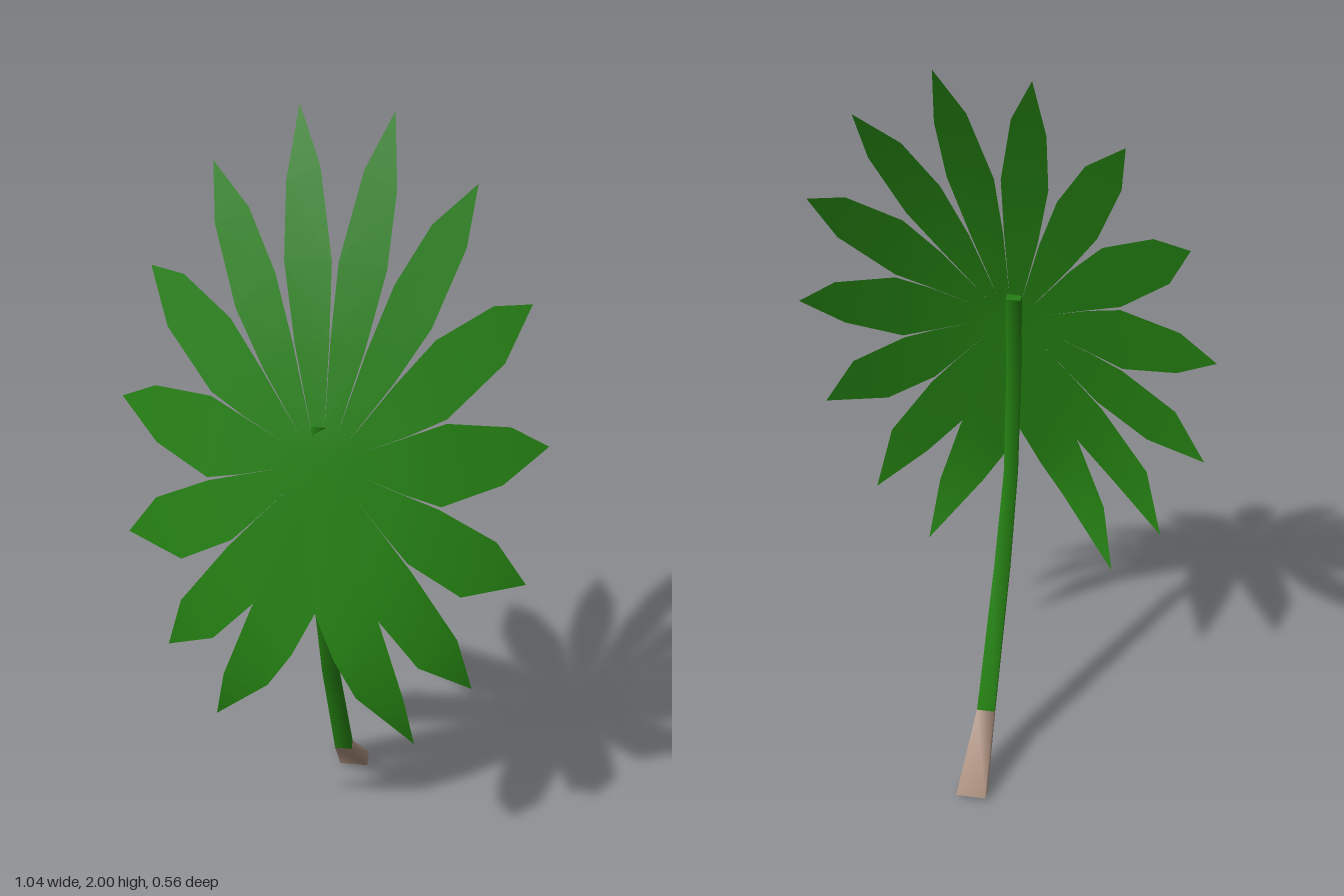
import * as THREE from 'three';
import { mergeVertices } from 'three/addons/utils/BufferGeometryUtils.js';

const CENTRE = [0, 1.235];
// points between neighbouring leaflets, from the top round to the lower notch
const BASES = [[0, 1.32], [0.03, 1.31], [0.058, 1.3], [0.09, 1.275], [0.098, 1.215], [0.072, 1.175], [0.047, 1.13], [0, 0.865]];
// leaflets of one half: upper mid, upper shoulder, tip, lower shoulder, lower mid
const LEAFLETS = [
  [[0.008, 1.69], [0.05, 1.88], [0.109, 2.0], [0.127, 1.845], [0.119, 1.68]],
  [[0.138, 1.65], [0.211, 1.777], [0.306, 1.86], [0.292, 1.73], [0.229, 1.56]],
  [[0.24, 1.535], [0.363, 1.607], [0.45, 1.607], [0.4, 1.482], [0.28, 1.36]],
  [[0.28, 1.35], [0.427, 1.337], [0.518, 1.284], [0.42, 1.202], [0.283, 1.155]],
  [[0.28, 1.148], [0.418, 1.066], [0.496, 0.944], [0.345, 0.933], [0.215, 1.015]],
  [[0.225, 0.995], [0.345, 0.82], [0.389, 0.652], [0.257, 0.745], [0.15, 0.87]],
  [[0.16, 0.85], [0.228, 0.647], [0.257, 0.478], [0.111, 0.652], [0.053, 0.748]],
];

// place a flat leaf point on the drooping, slightly turned dome
function onDome([u, y], side) {
  const d = y - CENTRE[1];
  const r2 = (u / 0.52) ** 2 + (d / 0.76) ** 2;
  const bulge = 0.23 * Math.max(0, -d) * r2 * Math.max(0, 1.15 - r2);
  const x = side * u + 0.0246 * (y - 1.284);
  const z = 0.165 - 0.22 * d - 0.183 * d * d - 0.444 * u * u + bulge + 0.107 * side * u;
  return [x, y, z];
}

const mix = (a, b, t) => [a[0] + (b[0] - a[0]) * t, a[1] + (b[1] - a[1]) * t];

// edge point between base and mid, drawn towards the neighbour so the slit stays narrow
const slitPoint = (base, mid, neighbour) => mix(base, mix(mid, neighbour, 0.35), 0.55);

function leafGeometry() {
  const positions = [];
  for (const side of [1, -1]) {
    const tri = (a, b, c) => {
      for (const p of side > 0 ? [a, b, c] : [a, c, b]) positions.push(...onDome(p, side));
    };
    LEAFLETS.forEach(([m1, s1, tip, s2, m2], i) => {
      const before = i > 0 ? LEAFLETS[i - 1][4] : [-m1[0], m1[1]];
      const after = i < LEAFLETS.length - 1 ? LEAFLETS[i + 1][0] : m2;
      const near = [BASES[i], slitPoint(BASES[i], m1, before), m1, s1];
      const far = [BASES[i + 1], slitPoint(BASES[i + 1], m2, after), m2, s2];
      tri(CENTRE, far[0], near[0]);
      for (let k = 0; k < 3; k++) {
        tri(near[k], far[k], far[k + 1]);
        tri(near[k], far[k + 1], near[k + 1]);
      }
      tri(s1, s2, tip);
    });
  }
  let geo = new THREE.BufferGeometry();
  geo.setAttribute('position', new THREE.Float32BufferAttribute(positions, 3));
  geo = mergeVertices(geo, 1e-5);
  geo.computeVertexNormals();
  return geo;
}

// four-sided tapered bar through rings { p: centre, rx: half width, rn: half depth, n: depth direction (y, z) }
function barGeometry(rings) {
  const corners = [[1, 1], [-1, 1], [-1, -1], [1, -1]];
  const positions = [], index = [];
  const addRing = ({ p, rx, rn, n }) => {
    for (const [cx, cn] of corners) {
      positions.push(p[0] + cx * rx, p[1] + n[0] * cn * rn, p[2] + n[1] * cn * rn);
    }
  };
  rings.forEach(addRing);
  for (let i = 0; i < rings.length - 1; i++) {
    for (let j = 0; j < 4; j++) {
      const a = i * 4 + j, b = i * 4 + ((j + 1) % 4);
      index.push(a, b, a + 4, b, b + 4, a + 4);
    }
  }
  // end caps on their own vertices so they stay sharp
  const cap = positions.length / 3;
  addRing(rings[0]);
  addRing(rings[rings.length - 1]);
  index.push(cap, cap + 2, cap + 1, cap, cap + 3, cap + 2);
  index.push(cap + 4, cap + 5, cap + 6, cap + 4, cap + 6, cap + 7);
  const geo = new THREE.BufferGeometry();
  geo.setAttribute('position', new THREE.Float32BufferAttribute(positions, 3));
  geo.setIndex(index);
  geo.computeVertexNormals();
  return geo;
}

function addMesh(group, name, geometry, color) {
  const material = new THREE.MeshStandardMaterial({ color, side: THREE.DoubleSide });
  const mesh = new THREE.Mesh(geometry, material);
  mesh.name = name;
  group.add(mesh);
}

export function createModel() {
  const group = new THREE.Group();
  group.name = 'palmLeaf';

  addMesh(group, 'leafBlade', leafGeometry(), 0x247f12);

  // stalk behind the blade, curving back to the foot
  const joint = { p: [0.017, 0.178, -0.11], rx: 0.023, rn: 0.013, n: [-0.5, 0.866] };
  addMesh(group, 'stalk', barGeometry([
    { p: [-0.012, 1.325, 0.13], rx: 0.018, rn: 0.014, n: [0, 1] },
    { p: [-0.01, 1.1, 0.15], rx: 0.017, rn: 0.013, n: [0, 1] },
    { p: [-0.007, 0.8, 0.13], rx: 0.017, rn: 0.012, n: [-0.2, 0.98] },
    { p: [0, 0.557, 0.043], rx: 0.02, rn: 0.012, n: [-0.35, 0.937] },
    joint,
  ]), 0x247f12);

  // flared woody foot
  addMesh(group, 'stalkFoot', barGeometry([
    joint,
    { p: [0.03, 0.008, -0.257], rx: 0.039, rn: 0.022, n: [-0.35, 0.937] },
  ]), 0xa88d7c);

  return group;
}
